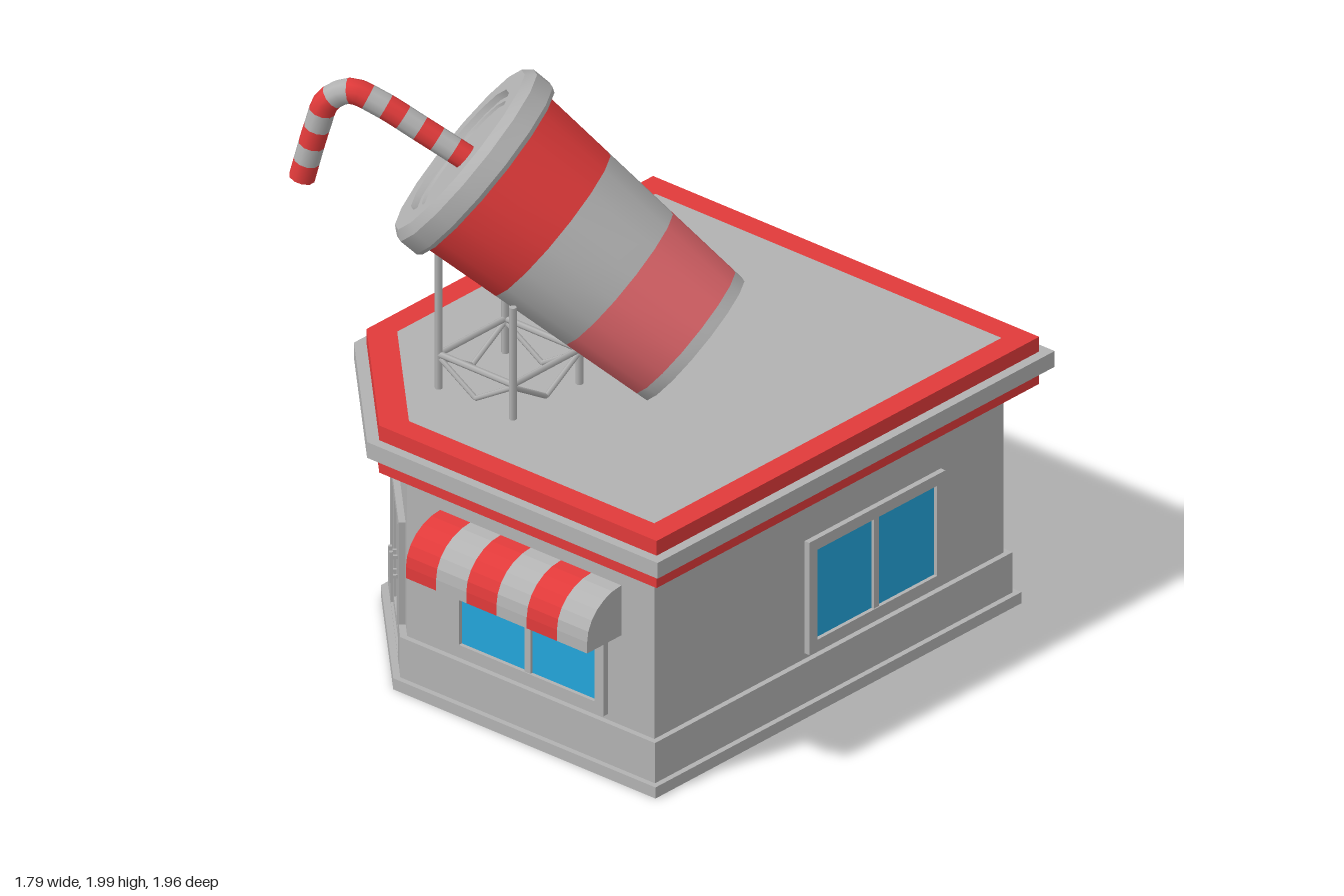
import * as THREE from 'three';
import { toCreasedNormals } from 'three/addons/utils/BufferGeometryUtils.js';

const material = (name, color) => {
  const m = new THREE.MeshStandardMaterial({ color });
  m.name = name;
  return m;
};

export function createModel() {
  const grey = material('grey', 0xb2b2b2);
  const red = material('red', 0xe03a3a);
  const coral = material('coral', 0xe0666b);
  const blue = material('windowBlue', 0x23a5db);
  const paleBlue = material('doorGlass', 0x6fb4d2);

  const model = new THREE.Group();
  model.name = 'drinkStand';
  const add = (parent, name, geometry, mat) => {
    const mesh = new THREE.Mesh(geometry, mat);
    mesh.name = name;
    parent.add(mesh);
    return mesh;
  };
  const group = (parent, name, x = 0, z = 0, turn = 0) => {
    const g = new THREE.Group();
    g.name = name;
    g.position.set(x, 0, z);
    g.rotation.y = turn;
    parent.add(g);
    return g;
  };
  const box = (parent, name, mat, w, h, d, x, y, z) =>
    add(parent, name, new THREE.BoxGeometry(w, h, d), mat).position.set(x, y, z);

  // Five-sided floor plan [x, z], grown outwards by d
  const plan = (d) => [
    [0.78 + d, 0.82 + d], [-0.27 - 0.6 * d, 0.82 + d], [-0.7 - d, 0.39 + 0.6 * d],
    [-0.7 - d, -0.86 - d], [0.78 + d, -0.86 - d],
  ];
  const toPoints = (list) => list.map(([x, z]) => new THREE.Vector2(x, -z));
  const slab = (name, mat, outline, y0, y1, hole) => {
    const shape = new THREE.Shape(toPoints(outline));
    if (hole) shape.holes.push(new THREE.Path(toPoints(hole)));
    const geo = new THREE.ExtrudeGeometry(shape, { depth: y1 - y0, bevelEnabled: false });
    geo.rotateX(-Math.PI / 2).translate(0, y0, 0);
    add(model, name, geo, mat);
  };

  // Building shell, with gaps in the plinth at both doors
  const P = plan(0.02);
  const k = Math.SQRT1_2;
  const corner = (along, out) => [-0.485 + k * (along - out), 0.605 + k * (along + out)];
  slab('baseSlab', grey, plan(0.04), 0, 0.04);
  slab('plinth', grey, [
    P[0], P[1], corner(0.225, 0.022), corner(0.225, -0.01), corner(-0.225, -0.01), corner(-0.225, 0.022),
    P[2], P[3], [-0.545, -0.88], [-0.545, -0.85], [-0.245, -0.85], [-0.245, -0.88], P[4],
  ], 0.04, 0.185);
  slab('walls', grey, plan(0), 0.04, 0.8);
  slab('lowerRoofBand', red, plan(0.08), 0.79, 0.85);
  slab('roofSlab', grey, plan(0.115), 0.85, 0.907);
  slab('parapet', red, plan(0.08), 0.907, 0.96, plan(-0.005));

  // Flat rectangular frame standing on a wall
  const frame = (parent, name, w, y0, y1, border, bottom, depth) => {
    const rect = (Type, a, b, c) => new Type([[-a, b], [a, b], [a, c], [-a, c]].map((p) => new THREE.Vector2(...p)));
    const shape = rect(THREE.Shape, w / 2, y0, y1);
    shape.holes.push(rect(THREE.Path, w / 2 - border, y0 + bottom, y1 - border));
    add(parent, name, new THREE.ExtrudeGeometry(shape, { depth, bevelEnabled: false }), grey);
  };

  // Two-pane window, optionally with a striped awning
  const profile = new THREE.Shape();
  profile.moveTo(0, 0.51).lineTo(0.165, 0.51).lineTo(0.165, 0.55);
  for (let i = 1; i <= 6; i++) {
    const t = (i / 6) * (Math.PI / 2);
    profile.lineTo(0.165 * Math.cos(t), 0.55 + 0.14 * Math.sin(t));
  }
  const addWindow = (name, x, z, turn, awning) => {
    const g = group(model, name, x, z, turn);
    frame(g, 'windowFrame', 0.655, 0.205, 0.61, 0.04, 0.04, 0.02);
    box(g, 'mullion', grey, 0.025, 0.33, 0.016, 0, 0.4075, 0.008);
    box(g, 'windowGlass', blue, 0.58, 0.33, 0.006, 0, 0.4075, 0.003);
    if (!awning) return;
    const step = 0.77 / 6;
    for (let i = 0; i < 6; i++) {
      const geo = new THREE.ExtrudeGeometry(profile, { depth: step, bevelEnabled: false });
      geo.rotateY(-Math.PI / 2).translate(-0.385 + step * (i + 1), 0, 0);
      add(g, 'awningStripe', geo, i % 2 ? grey : red);
    }
  };
  addWindow('frontWindow', 0.255, 0.82, 0, true);
  addWindow('rightWallWindow', -0.7, -0.245, -Math.PI / 2, true);
  addWindow('leftWallWindow', 0.78, -0.23, Math.PI / 2, false);
  addWindow('backWindow', 0.255, -0.86, Math.PI, false);

  // Glazed doors: each leaf has a pull handle on the given side
  const addDoor = (name, x, z, turn, width, leaves) => {
    const g = group(model, name, x, z, turn);
    frame(g, 'doorFrame', width, 0.04, 0.55, 0.03, 0.005, 0.022);
    for (const [cx, w, side] of leaves) {
      const leaf = group(g, 'doorLeaf', cx, 0);
      frame(leaf, 'leafFrame', w, 0.045, 0.515, 0.026, 0.035, 0.014);
      box(leaf, 'doorGlass', paleBlue, w - 0.05, 0.42, 0.006, 0, 0.285, 0.003);
      const hx = side * (w / 2 - 0.018);
      box(leaf, 'handleBar', grey, 0.012, 0.11, 0.012, hx, 0.285, 0.034);
      for (const y of [0.25, 0.32]) box(leaf, 'handlePost', grey, 0.01, 0.012, 0.025, hx, y, 0.022);
    }
  };
  addDoor('cornerDoors', -0.485, 0.605, -Math.PI / 4, 0.44, [[-0.095, 0.186, 1], [0.095, 0.186, -1]]);
  addDoor('backDoor', -0.395, -0.86, Math.PI, 0.29, [[0, 0.23, 1]]);

  // Tilted cup, built along its own y axis
  const cup = group(model, 'cup');
  cup.position.set(0.27, 1.14, 0.05);
  cup.quaternion.setFromUnitVectors(new THREE.Vector3(0, 1, 0), new THREE.Vector3(-0.685, 0.615, 0.385).normalize());
  const lathe = (name, mat, pts) => add(cup, name, toCreasedNormals(
    new THREE.LatheGeometry(pts.map((p) => new THREE.Vector2(...p)), 16), 0.5), mat);
  const radius = (s) => 0.25 + 0.075 * s;
  lathe('cupBottom', grey, [[0, 0.03], [0.205, 0.03], [0.215, 0], [0.25, 0], [radius(0.04), 0.04]]);
  [coral, grey, red].forEach((mat, i) => {
    const a = 0.04 + i * 0.275, b = a + 0.275;
    lathe('cupBand', mat, [[radius(a), a], [radius(b), b]]);
  });
  lathe('lid', grey, [
    [0.3, 0.86], [0.34, 0.86], [0.35, 0.875], [0.35, 0.94], [0.325, 0.97],
    [0.245, 0.97], [0.238, 0.95], [0.215, 0.95], [0.21, 0.942], [0, 0.942],
  ]);

  // Bent straw with thirteen stripes
  const path = new THREE.CatmullRomCurve3([
    [-0.36, 1.705, 0.41], [-0.5, 1.795, 0.483], [-0.63, 1.877, 0.552], [-0.71, 1.908, 0.595],
    [-0.775, 1.865, 0.63], [-0.805, 1.77, 0.646], [-0.85, 1.575, 0.67],
  ].map((p) => new THREE.Vector3(...p)));
  const sides = 10, stripes = 13;
  const tube = new THREE.TubeGeometry(path, stripes * 2, 0.043, sides);
  for (let i = 0; i < stripes; i++) tube.addGroup(i * 2 * sides * 6, 2 * sides * 6, i % 2);
  add(model, 'straw', tube, [red, grey]);
  const tip = add(model, 'strawTip', new THREE.CircleGeometry(0.043, sides), red);
  tip.position.copy(path.getPoint(1));
  tip.quaternion.setFromUnitVectors(new THREE.Vector3(0, 0, 1), path.getTangent(1));

  // Support stand: four legs, a ring of rails and V braces
  const stand = group(model, 'stand');
  const rod = (name, a, b, r) => {
    const from = new THREE.Vector3(...a), dir = new THREE.Vector3(...b).sub(from);
    const mesh = add(stand, name, new THREE.CylinderGeometry(r, r, dir.length(), 6), grey);
    mesh.position.copy(from).addScaledVector(dir, 0.5);
    mesh.quaternion.setFromUnitVectors(new THREE.Vector3(0, 1, 0), dir.normalize());
  };
  const legs = [[-0.41, 0.51, 1.4], [-0.095, 0.51, 1.31], [-0.095, 0.19, 1.17], [-0.41, 0.19, 1.42]];
  legs.forEach(([x, z, top], i) => {
    const [nx, nz] = legs[(i + 1) % 4];
    const middle = [(x + nx) / 2, 0.925, (z + nz) / 2];
    rod('leg', [x, 0.9, z], [x, top, z], 0.013);
    rod('rail', [x, 1.03, z], [nx, 1.03, nz], 0.011);
    rod('brace', [x, 1.02, z], middle, 0.009);
    rod('brace', [nx, 1.02, nz], middle, 0.009);
  });

  return model;
}
